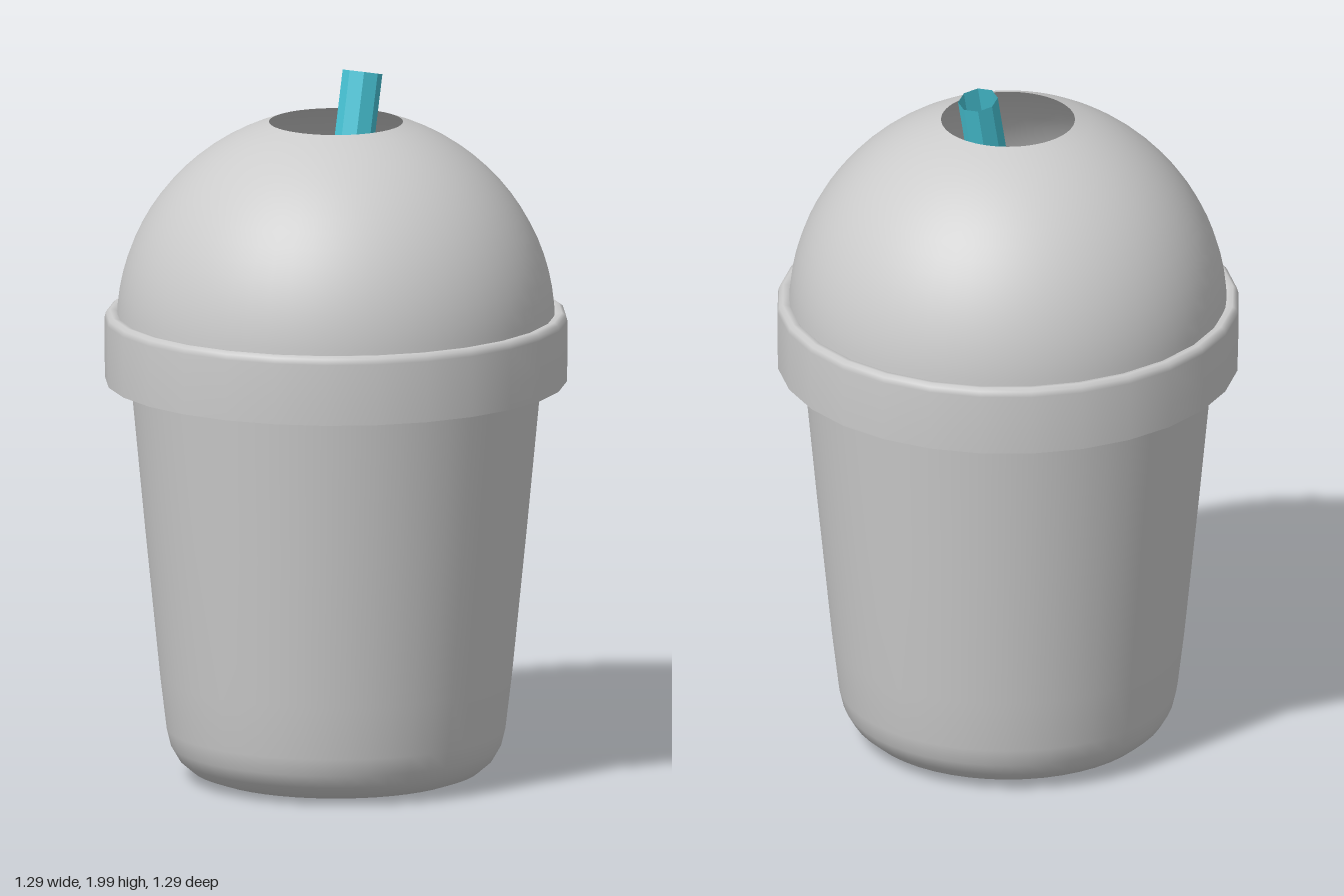
import * as THREE from 'three';

const grey = new THREE.MeshStandardMaterial({ color: 0xcccccc, side: THREE.DoubleSide });
const pink = new THREE.MeshStandardMaterial({ color: 0xe858b8, side: THREE.DoubleSide });
const teal = new THREE.MeshStandardMaterial({ color: 0x48c4d6, side: THREE.DoubleSide, flatShading: true });

// Smooth surface of revolution from [radius, height] pairs
function lathe(name, profile, segments) {
  const points = profile.map(([r, y]) => new THREE.Vector2(r, y));
  const mesh = new THREE.Mesh(new THREE.LatheGeometry(points, segments), grey);
  mesh.name = name;
  return mesh;
}

export function createModel() {
  const group = new THREE.Group();
  group.name = 'domedCup';

  // Tapered cup with a rounded base
  group.add(lathe('cup', [
    [0, 0.008], [0.3, 0.01], [0.36, 0.016], [0.405, 0.032], [0.44, 0.062],
    [0.462, 0.1], [0.474, 0.15], [0.492, 0.3], [0.534, 0.72], [0.574, 1.14], [0.585, 1.26],
  ], 48));

  // Lid band, open underneath, with a softened top edge
  group.add(lathe('lidBand', [
    [0.645, 1.137], [0.647, 1.2], [0.647, 1.31], [0.643, 1.325], [0.632, 1.333], [0.615, 1.33], [0.605, 1.32],
  ], 28));

  // Dome with a round opening on top
  const dome = [];
  const steps = 16, end = Math.acos(0.187 / 0.612);
  for (let i = 0; i <= steps; i++) {
    const a = end * i / steps;
    dome.push([0.612 * Math.cos(a), 1.3 + 0.572 * Math.sin(a) / Math.sin(end)]);
  }
  group.add(lathe('dome', dome, 64));

  // Drink surface inside the cup
  const drink = new THREE.Mesh(new THREE.CircleGeometry(0.568, 48), pink);
  drink.name = 'drink';
  drink.rotation.x = -Math.PI / 2;
  drink.position.y = 1.1;
  group.add(drink);

  // Leaning hollow straw
  const top = new THREE.Vector3(-0.03, 1.987, -0.147);
  const bottom = new THREE.Vector3(0.021, 0.85, 0.124);
  const axis = top.clone().sub(bottom);
  const straw = new THREE.Mesh(
    new THREE.CylinderGeometry(0.056, 0.056, axis.length(), 8, 1, true), teal);
  straw.name = 'straw';
  straw.position.copy(top).add(bottom).multiplyScalar(0.5);
  straw.quaternion.setFromUnitVectors(new THREE.Vector3(0, 1, 0), axis.normalize());
  group.add(straw);

  return group;
}
